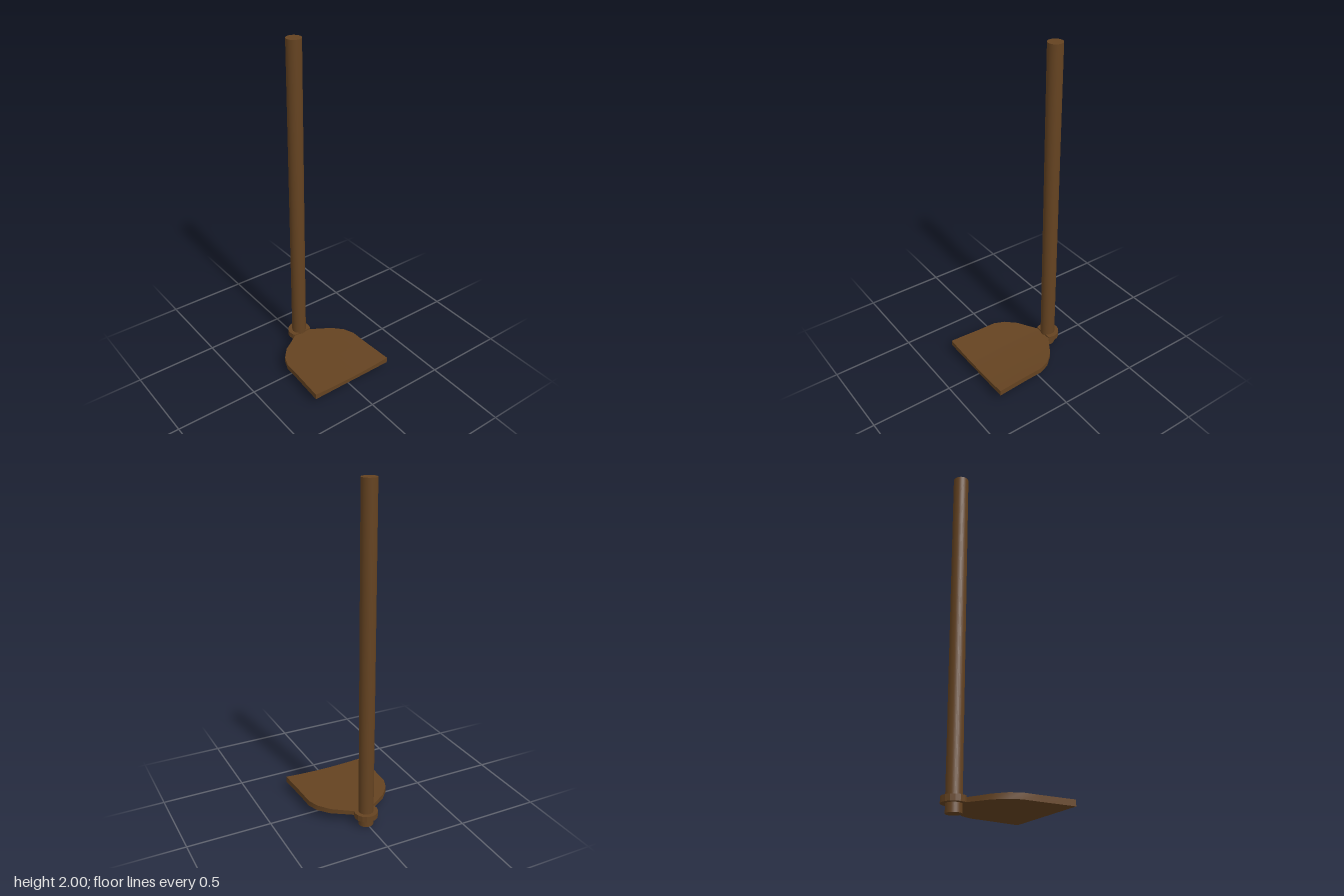
import * as THREE from 'three';

export function createModel() {
  const brown = new THREE.MeshStandardMaterial({ color: 0x654321 });
  brown.name = 'brown';
  const model = new THREE.Group();
  model.name = 'paddleTool';
  const poleX = -0.242, neckX = -0.205, base = 0.05;

  const add = (name, geometry) => {
    const mesh = new THREE.Mesh(geometry, brown);
    mesh.name = name;
    model.add(mesh);
    return mesh;
  };

  // Long round handle, running through the collar to the ground
  add('handle', new THREE.CylinderGeometry(0.044, 0.044, 2, 32)).position.set(poleX, 1, 0);

  // Faceted collar, cut flat where the blade begins
  const radius = 0.07, cut = Math.acos((neckX - poleX) / radius);
  const ring = [[neckX, -radius * Math.sin(cut)], [neckX, radius * Math.sin(cut)]];
  for (let i = 3; i <= 13; i++) {
    const a = i * Math.PI / 8;
    ring.push([poleX + radius * Math.cos(a), radius * Math.sin(a)]);
  }
  const collarShape = new THREE.Shape(ring.map(([x, z]) => new THREE.Vector2(x, z)));
  const collar = new THREE.ExtrudeGeometry(collarShape, { depth: 0.035, bevelEnabled: false });
  collar.rotateX(-Math.PI / 2).translate(0, base, 0);
  add('collar', collar);

  // Blade: a box whose width follows the profile [x, half width], with a slightly dished top
  const profile = [[neckX, 0.059], [-0.17, 0.112], [-0.13, 0.174], [-0.065, 0.23],
    [0, 0.255], [0.1, 0.258], [0.311, 0.27]];
  const steps = profile.length - 1;
  const blade = new THREE.BoxGeometry(1, 1, 1, steps, 1, 12);
  const p = blade.attributes.position;
  for (let i = 0; i < p.count; i++) {
    const [x, halfWidth] = profile[Math.round((p.getX(i) + 0.5) * steps)];
    const z = p.getZ(i) * 2 * halfWidth;
    const top = 0.075 + 0.01 * (z / 0.27) ** 2;
    p.setXYZ(i, x, p.getY(i) > 0 ? top : base, z);
  }
  blade.computeVertexNormals();
  add('blade', blade);

  return model;
}
